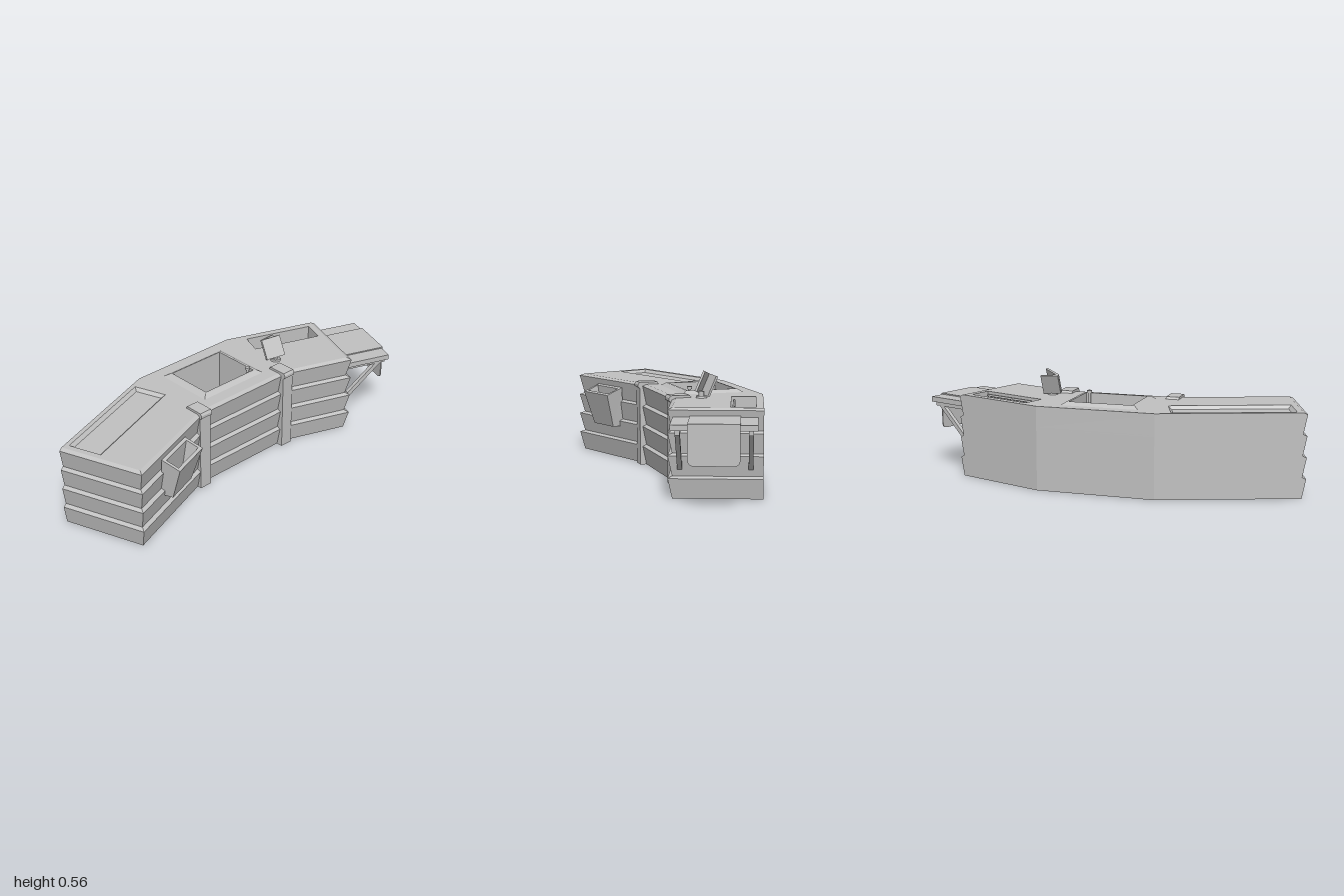
import * as THREE from 'three';

const grey = new THREE.MeshStandardMaterial({ color: 0xc0c0c0 });
grey.name = 'plain grey';
const ANGLE = THREE.MathUtils.degToRad(20);
const TOP = 0.426;

function add(parent, name, geometry, x = 0, y = 0, z = 0) {
  const mesh = new THREE.Mesh(geometry, grey);
  mesh.name = name;
  mesh.position.set(x, y, z);
  parent.add(mesh);
  return mesh;
}

// Box given by its lower and upper limits on each axis
function block(parent, name, x0, x1, y0, y1, z0, z1) {
  return add(parent, name, new THREE.BoxGeometry(x1 - x0, y1 - y0, z1 - z0),
    (x0 + x1) / 2, (y0 + y1) / 2, (z0 + z1) / 2);
}

// Flat-faced skin through rings of [x, y, z] points, counter-clockwise from above
function loft(rings, capStart, capEnd) {
  const pos = [];
  const tri = (a, b, c) => pos.push(...a, ...b, ...c);
  for (let r = 0; r + 1 < rings.length; r++) {
    const lo = rings[r], hi = rings[r + 1], n = lo.length;
    for (let i = 0; i < n; i++) {
      const j = (i + 1) % n;
      tri(lo[i], lo[j], hi[j]);
      tri(lo[i], hi[j], hi[i]);
    }
  }
  const first = rings[0], last = rings[rings.length - 1];
  for (let i = 1; i + 1 < first.length; i++) {
    if (capStart) tri(first[0], first[i + 1], first[i]);
    if (capEnd) tri(last[0], last[i], last[i + 1]);
  }
  const g = new THREE.BufferGeometry();
  g.setAttribute('position', new THREE.Float32BufferAttribute(pos, 3));
  g.computeVertexNormals();
  return g;
}

const rect = (x0, x1, z0, z1, y) => [[x0, y, z1], [x1, y, z1], [x1, y, z0], [x0, y, z0]];

// Plan position of a point in a wing's own frame; s = 1 for the front wing, -1 for the rear
const wing = (s, x, z) => [
  x * Math.cos(ANGLE) + s * z * Math.sin(ANGLE),
  -s * x * Math.sin(ANGLE) + z * Math.cos(ANGLE)];

// Counter outline, with the boarded sides and ends drawn in by o
const outline = (o) => [
  wing(1, -0.428, 0.904 - o), wing(1, 0.015 - o, 0.904 - o),
  [0.12 - o, 0.286 + o * 0.176], [0.12 - o, -0.286 - o * 0.176],
  wing(-1, 0.015 - o, o - 0.687), wing(-1, -0.428, o - 0.687),
  [-0.345, -0.303], [-0.345, 0.303]];

function buildCounter(parent, holes) {
  // Four overhanging boards
  const ring = (o, y) => outline(o).map(([x, z]) => [x, y, z]);
  const rings = [];
  for (let k = 0; k < 4; k++) {
    rings.push(ring(0.02, k * 0.1065), ring(0, k * 0.1065 + 0.097));
  }
  rings.push(ring(0.02, TOP));
  add(parent, 'counterSides', loft(rings));

  // Worktop with openings, and the underside
  const path = (pts, s) => pts.map(([x, z]) => new THREE.Vector2(x, s * z));
  const top = new THREE.Shape(path(outline(0.02), -1));
  for (const h of holes) top.holes.push(new THREE.Path(path(h, -1)));
  add(parent, 'worktop', new THREE.ShapeGeometry(top).rotateX(-Math.PI / 2), 0, TOP, 0);
  const base = new THREE.Shape(path(outline(0.02), 1));
  add(parent, 'underside', new THREE.ShapeGeometry(base).rotateX(Math.PI / 2));
}

function buildDisplay(parent) {
  add(parent, 'displayBase', new THREE.CylinderGeometry(0.025, 0.027, 0.01, 16), -0.012, TOP + 0.005, -0.34);
  add(parent, 'displayStem', new THREE.CylinderGeometry(0.013, 0.013, 0.03, 16), -0.012, TOP + 0.017, -0.34);
  const display = new THREE.Group();
  display.name = 'display';
  display.position.set(-0.012, 0.445, -0.34);
  display.rotation.z = THREE.MathUtils.degToRad(24);
  // Two hinged leaves meeting in a V
  const leaf = (name, x0, z0, x1, z1) => {
    const len = Math.hypot(x1 - x0, z1 - z0);
    const m = add(display, name, new THREE.BoxGeometry(len, 0.107, 0.011), (x0 + x1) / 2, 0.053, (z0 + z1) / 2);
    m.rotation.y = -Math.atan2(z1 - z0, x1 - x0);
  };
  leaf('screen', -0.012, 0.05, 0.042, -0.03);
  leaf('backLeaf', -0.016, 0.05, -0.026, -0.04);
  parent.add(display);
}

function buildShelf(parent) {
  block(parent, 'shelf', -0.401, -0.008, 0.357, 0.384, -0.922, -0.665);
  // Runner over the shelf, hanging down at its end
  block(parent, 'runnerTop', -0.322, -0.087, 0.384, 0.39, -0.928, -0.665);
  const w = 0.1175, r = 0.03, h = 0.19;
  const s = new THREE.Shape();
  s.moveTo(-w, 0);
  s.lineTo(-w, r - h);
  s.quadraticCurveTo(-w, -h, r - w, -h);
  s.lineTo(w - r, -h);
  s.quadraticCurveTo(w, -h, w, r - h);
  s.lineTo(w, 0);
  add(parent, 'runnerDrop', new THREE.ExtrudeGeometry(s, { depth: 0.006, bevelEnabled: false, curveSegments: 5 }),
    -0.2045, 0.39, -0.929);
  // Brackets
  for (const x of [-0.37, -0.04]) {
    const brace = add(parent, 'shelfBrace', new THREE.BoxGeometry(0.022, 0.022, 0.31), x, 0.252, -0.78);
    brace.rotation.x = Math.atan2(0.205, 0.22);
    block(parent, 'shelfBearer', x - 0.011, x + 0.011, 0.335, 0.357, -0.91, -0.665);
  }
}

export function createModel() {
  const model = new THREE.Group();
  model.name = 'counter';
  const frontWing = new THREE.Group();
  frontWing.name = 'frontWing';
  frontWing.rotation.y = ANGLE;
  const rearWing = new THREE.Group();
  rearWing.name = 'rearWing';
  rearWing.rotation.y = -ANGLE;
  model.add(frontWing, rearWing);

  const tray = [-0.405, -0.231, 0.247, 0.855];
  const slot = [-0.392, -0.274, -0.635, -0.268];
  const corners = (b, s) => rect(...b, 0).map(([x, , z]) => (s ? wing(s, x, z) : [x, z]));
  buildCounter(model, [corners([-0.25, 0.005, -0.163, 0.163], 0), corners(tray, 1), corners(slot, -1)]);

  // Basin with a raised, bevelled rim and a tap in its corner
  add(model, 'basin', loft([
    rect(-0.28, 0.037, -0.2, 0.2, TOP),
    rect(-0.255, 0.015, -0.175, 0.175, 0.441),
    rect(-0.25, 0.005, -0.163, 0.163, 0.441),
    rect(-0.247, 0.002, -0.16, 0.16, 0.2)], false, true));
  add(model, 'tapStem', new THREE.CylinderGeometry(0.008, 0.008, 0.25, 12), -0.015, 0.325, -0.14);
  add(model, 'tapCap', new THREE.CylinderGeometry(0.013, 0.013, 0.012, 12), -0.015, 0.452, -0.14);

  // Straps hooked over the inner edge
  const strap = new THREE.Shape([[0.08, 0], [0.134, 0], [0.134, 0.405], [0.145, 0.412], [0.145, 0.426],
    [0.137, 0.438], [0.04, 0.438], [0.033, 0.426], [0.08, 0.42]].map((p) => new THREE.Vector2(...p)));
  for (const z of [-0.285, 0.285]) {
    add(model, 'strap', new THREE.ExtrudeGeometry(strap, { depth: 0.068, bevelEnabled: false }), 0, 0, z - 0.034);
  }

  // Shallow tray in the front wing
  const [tx0, tx1, tz0, tz1] = tray, t = 0.016;
  add(frontWing, 'tray', loft([rect(...tray, TOP),
    rect(tx0 + t, tx1 - t, tz0 + t, tz1 - t, 0.41)], false, true));

  // Tapered open bin on the front wing
  const bin = (x0, x1, z0, z1, yIn, yOut) => [[x0, yIn, z1], [x1, yOut, z1], [x1, yOut, z0], [x0, yIn, z0]];
  add(frontWing, 'bin', loft([
    bin(-0.01, 0.055, 0.512, 0.695, 0.175, 0.175),
    bin(0.012, 0.108, 0.49, 0.716, 0.387, 0.352),
    bin(0.028, 0.092, 0.506, 0.7, 0.381, 0.358),
    bin(0.008, 0.046, 0.525, 0.682, 0.195, 0.195)], true, true));

  // Slot with a rail in the rear wing
  add(rearWing, 'slot', loft([rect(...slot, TOP), rect(...slot, 0.35)], false, true));
  add(rearWing, 'slotRail', new THREE.CylinderGeometry(0.006, 0.006, 0.34, 10).rotateX(Math.PI / 2), -0.287, 0.408, -0.452);
  for (const z of [-0.61, -0.452, -0.294]) {
    add(rearWing, 'railPost', new THREE.CylinderGeometry(0.007, 0.007, 0.065, 10), -0.287, 0.38, z);
  }

  buildShelf(rearWing);
  buildDisplay(model);
  return model;
}
